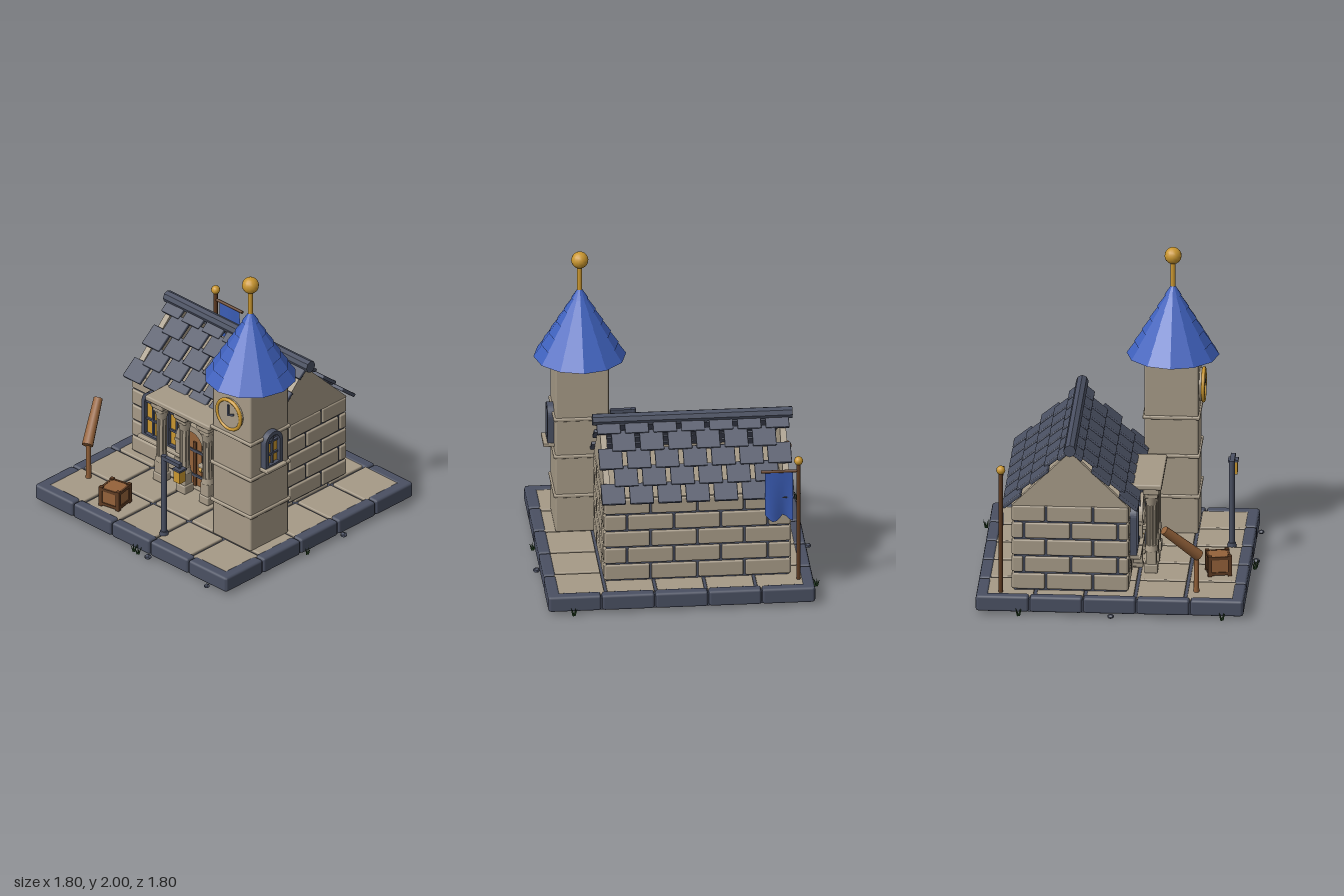
import * as THREE from 'three';
import { RoundedBoxGeometry } from 'three/addons/geometries/RoundedBoxGeometry.js';

const paint = (name, color) => Object.assign(new THREE.MeshStandardMaterial({ color }), { name });

export function createModel() {
  const stone = paint('stone', 0xa69a87), slate = paint('slate', 0x4a5062), blue = paint('blue', 0x3f61bd);
  const gold = paint('gold', 0xc9962f), wood = paint('wood', 0x94623a), darkWood = paint('darkWood', 0x5e3b22);
  const green = paint('green', 0x284a26);
  const cloth = paint('cloth', 0x3a5cb4);
  cloth.side = THREE.DoubleSide;
  const model = new THREE.Group();
  model.name = 'clockTowerHouse';

  // Helpers
  const put = (parent, name, geo, mat, x = 0, y = 0, z = 0) => {
    const m = new THREE.Mesh(geo, mat);
    m.name = name;
    m.position.set(x, y, z);
    parent.add(m);
    return m;
  };
  const group = (name, x = 0, y = 0, z = 0, parent = model) => {
    const g = new THREE.Group();
    g.name = name;
    g.position.set(x, y, z);
    parent.add(g);
    return g;
  };
  const box = (w, h, d) => new THREE.BoxGeometry(w, h, d);
  const soft = (w, h, d, r = 0.01) => new RoundedBoxGeometry(w, h, d, 1, r);
  const cyl = (r1, r2, h, n = 12) => new THREE.CylinderGeometry(r1, r2, h, n);
  const flat = (geo) => {
    const g = geo.index ? geo.toNonIndexed() : geo;
    g.computeVertexNormals();
    return g;
  };
  // Arched outline standing on y = 0 (path only, used for shapes and holes)
  const arch = (path, w, spring, y0 = 0) => {
    path.moveTo(-w, y0);
    path.lineTo(w, y0);
    path.lineTo(w, spring);
    path.absarc(0, spring, w, 0, Math.PI, false);
    path.lineTo(-w, y0);
    return path;
  };
  const archRing = (outer, inner, spring, y0, depth) => {
    const s = arch(new THREE.Shape(), outer, spring);
    s.holes.push(arch(new THREE.Path(), inner, spring, y0));
    return new THREE.ExtrudeGeometry(s, { depth, bevelEnabled: false, curveSegments: 10 });
  };

  // Plinth: slab, kerb stones and paving
  const base = group('base');
  put(base, 'slab', box(1.68, 0.08, 1.68), slate, 0, 0.063, 0);
  for (let i = 0; i < 5; i++) {
    const t = (i - 2) * 0.342;
    for (const s of [-1, 1]) {
      put(base, 'kerbStone', soft(0.334, 0.105, 0.078, 0.016), slate, t, 0.0725, s * 0.816);
      put(base, 'kerbStone', soft(0.078, 0.105, 0.334, 0.016), slate, s * 0.816, 0.0725, t);
    }
    for (let j = 0; j < 5; j++)
      put(base, 'pavingTile', soft(0.3, 0.03, 0.3, 0.008), stone, (i - 2) * 0.32, 0.105, (j - 2) * 0.32);
  }

  // House walls: mortar core with staggered bricks
  const house = group('house', -0.12, 0, -0.26);
  put(house, 'mortarCore', box(1.17, 0.57, 0.72), slate, 0, 0.405, 0);
  put(house, 'atticFloor', box(1.17, 0.01, 0.72), stone, 0, 0.695, 0);
  const course = (length, row, offset, place) => {
    const cuts = [-length / 2];
    for (let c = -length / 2 + offset; c < length / 2 - 0.05; c += 0.3) cuts.push(c);
    cuts.push(length / 2);
    for (let i = 0; i + 1 < cuts.length; i++)
      place((cuts[i] + cuts[i + 1]) / 2, cuts[i + 1] - cuts[i] - 0.013, 0.181 + row * 0.115);
  };
  for (let row = 0; row < 5; row++)
    for (const s of [-1, 1]) {
      course(1.2, row, row % 2 ? 0.15 : 0.3, (c, l, y) => put(house, 'brick', soft(l, 0.104, 0.06), stone, s * c, y, s * 0.345));
      course(0.75, row, row % 2 ? 0.07 : 0.23, (c, l, y) => put(house, 'brick', soft(0.06, 0.104, l), stone, s * 0.57, y, s * c));
    }

  // Gables
  const tri = new THREE.Shape([new THREE.Vector2(-0.375, 0.695), new THREE.Vector2(0.375, 0.695), new THREE.Vector2(0, 1.065)]);
  for (const s of [-1, 1]) {
    const gable = put(house, 'gable', new THREE.ExtrudeGeometry(tri, { depth: 0.04, bevelEnabled: false }), stone, s * 0.575 - 0.02, 0, 0);
    gable.rotation.y = Math.PI / 2;
  }

  // Roof: staggered shingles with open gaps, and a ridge cap
  const pitch = 0.76;
  for (const turn of [0, Math.PI]) {
    const slope = group('roofSlope', 0, 1.085, 0, house);
    slope.rotation.y = turn;
    for (let row = 0; row < 5; row++) {
      const n = row % 2 ? 6 : 7;
      const from = Math.max(0, -0.043 + row * 0.121), to = 0.103 + row * 0.121, d = (from + to) / 2;
      for (let i = 0; i < n; i++) {
        const shingle = put(slope, 'shingle', soft(0.152, 0.024, to - from, 0.006), slate,
          (i - (n - 1) / 2) * 0.18, -d * Math.sin(pitch), d * Math.cos(pitch));
        shingle.rotation.x = pitch - 0.08;
      }
    }
  }
  put(house, 'ridgeCap', flat(cyl(0.04, 0.04, 1.28, 8)), slate, 0, 1.088, 0).rotation.z = Math.PI / 2;

  // Arched windows
  const makeWindow = (x, y, z, w, h, turn = 0) => {
    const g = group('window', x, y, z), r = w / 2, spring = h - r;
    g.rotation.y = turn;
    put(g, 'frame', archRing(r, r - 0.027, spring, 0.02, 0.045), slate);
    put(g, 'fanlight', new THREE.ExtrudeGeometry(arch(new THREE.Shape(), r - 0.02, spring), { depth: 0.012, bevelEnabled: false }), slate);
    put(g, 'pane', box(w - 0.05, spring - 0.02, 0.008), gold, 0, spring / 2 + 0.01, 0.014);
    put(g, 'mullion', box(0.014, h - 0.04, 0.02), slate, 0, h / 2, 0.02);
    for (const f of [0.5, 1]) put(g, 'crossbar', box(w - 0.04, 0.014, 0.02), slate, 0, spring * f, 0.02);
    put(g, 'sill', soft(w + 0.025, 0.024, 0.075, 0.006), stone, 0, -0.005, 0.035);
  };
  for (const dx of [-0.375, -0.165, 0.165, 0.375]) makeWindow(-0.12 + dx, 0.315, 0.113, 0.172, 0.335);
  makeWindow(0.715, 0.695, 0.318, 0.155, 0.255, Math.PI / 2);

  // Doorway
  const door = group('doorway', -0.12, 0.12, 0.115);
  put(door, 'stoneArch', archRing(0.142, 0.098, 0.31, 0.001, 0.06), stone);
  put(door, 'doorPanel', new THREE.ExtrudeGeometry(arch(new THREE.Shape(), 0.1, 0.31), { depth: 0.02, bevelEnabled: false }), wood);
  for (const x of [-0.075, 0, 0.075]) put(door, 'doorBatten', box(0.025, 0.32, 0.015), darkWood, x, 0.16, 0.025);
  for (const y of [0.08, 0.26]) put(door, 'hinge', box(0.18, 0.018, 0.01), slate, 0, y, 0.033);
  put(door, 'doorKnob', new THREE.SphereGeometry(0.016, 10, 8), gold, 0.065, 0.145, 0.04);
  for (const s of [-1, 1]) for (const y of [0.02, 0.16, 0.3])
    put(door, 'archBlock', soft(0.055, 0.025, 0.07, 0.005), stone, s * 0.12, y, 0.03);

  // Portico: slab on three fluted columns
  put(model, 'porticoSlab', soft(0.575, 0.036, 0.205, 0.01), stone, -0.12, 0.718, 0.203);
  for (const dx of [-0.205, 0, 0.205]) {
    const c = group('column', -0.12 + dx, 0, 0.235);
    put(c, 'plinth', soft(0.085, 0.06, 0.085, 0.008), stone, 0, 0.15, 0);
    put(c, 'pedestal', soft(0.068, 0.1, 0.068, 0.006), stone, 0, 0.22, 0);
    put(c, 'footRing', cyl(0.036, 0.043, 0.04), stone, 0, 0.285, 0);
    put(c, 'shaft', cyl(0.026, 0.028, 0.29), stone, 0, 0.44, 0);
    for (let i = 0; i < 8; i++) {
      const a = (i / 8) * Math.PI * 2;
      put(c, 'flute', cyl(0.007, 0.007, 0.28, 6), stone, Math.sin(a) * 0.027, 0.44, Math.cos(a) * 0.027);
    }
    put(c, 'capitalNeck', cyl(0.046, 0.032, 0.06), stone, 0, 0.605, 0);
    put(c, 'capital', soft(0.085, 0.03, 0.085, 0.006), stone, 0, 0.645, 0);
    put(c, 'abacus', soft(0.105, 0.045, 0.105, 0.008), stone, 0, 0.68, 0);
  }

  // Tower
  const tower = group('tower', 0.547, 0, 0.318);
  const levels = [0.115, 0.37, 0.645, 0.905, 1.285];
  for (let i = 0; i < 4; i++) {
    const h = levels[i + 1] - levels[i];
    put(tower, 'towerBlock', soft(0.342, h, 0.345, 0.012), stone, 0, levels[i] + h / 2, 0);
    if (i) put(tower, 'towerBand', soft(0.368, 0.024, 0.368, 0.008), stone, 0, levels[i], 0);
  }
  // Tiered spire
  const radius = (y) => 0.297 * (1 - (y - 1.28) / 0.49);
  const profile = [new THREE.Vector2(0, 1.28)];
  for (let i = 0; i < 6; i++) {
    const y0 = 1.28 + i * 0.08, y1 = y0 + 0.08;
    profile.push(new THREE.Vector2(radius(y0), y0), new THREE.Vector2(Math.max(radius(y1) - 0.008, 0.003), y1));
  }
  profile.push(new THREE.Vector2(0, 1.762));
  put(tower, 'spire', flat(new THREE.LatheGeometry(profile, 12)), blue);
  put(tower, 'finialRod', cyl(0.016, 0.016, 0.2), gold, 0, 1.82, 0);
  put(tower, 'finialBall', new THREE.SphereGeometry(0.055, 14, 10), gold, 0, 1.945, 0);

  // Clock
  const clock = group('clock', 0, 1.073, 0.172, tower);
  put(clock, 'clockFace', cyl(0.106, 0.106, 0.03, 28), stone, 0, 0, 0.012).rotation.x = Math.PI / 2;
  put(clock, 'clockRim', new THREE.TorusGeometry(0.104, 0.012, 8, 28), gold, 0, 0, 0.025);
  put(clock, 'minuteHand', box(0.012, 0.08, 0.008), slate, 0, 0.034, 0.031);
  put(clock, 'hourHand', box(0.055, 0.012, 0.008), slate, 0.022, 0.006, 0.031).rotation.z = 0.35;

  // Street lamp
  const lamp = group('streetLamp', 0.168, 0, 0.718);
  put(lamp, 'lampFoot', cyl(0.026, 0.03, 0.03, 8), slate, 0, 0.13, 0);
  put(lamp, 'lampPost', cyl(0.019, 0.019, 0.58, 8), slate, 0, 0.41, 0);
  put(lamp, 'lampArm', box(0.155, 0.026, 0.03), slate, 0.07, 0.685, 0);
  put(lamp, 'lampHook', cyl(0.01, 0.01, 0.03, 6), slate, 0.138, 0.67, 0);
  put(lamp, 'lanternCap', box(0.066, 0.014, 0.066), slate, 0.138, 0.655, 0);
  put(lamp, 'lanternGlass', box(0.054, 0.085, 0.054), gold, 0.138, 0.607, 0);

  // Crate with dark framing
  const crate = group('crate', -0.322, 0.19, 0.663);
  crate.rotation.y = 0.2;
  put(crate, 'crateBody', box(0.135, 0.12, 0.135), wood);
  for (const a of [-1, 1]) for (const b of [-1, 1]) {
    put(crate, 'cratePost', box(0.026, 0.138, 0.026), darkWood, a * 0.064, 0, b * 0.064);
    put(crate, 'crateRail', box(0.12, 0.02, 0.014), darkWood, 0, a * 0.052, b * 0.067);
    put(crate, 'crateRail', box(0.014, 0.02, 0.12), darkWood, b * 0.067, a * 0.052, 0);
  }

  // Tilted log on a post
  put(model, 'logPost', cyl(0.016, 0.018, 0.27, 8), wood, -0.675, 0.245, 0.545);
  const a = new THREE.Vector3(-0.785, 0.575, 0.345), b = new THREE.Vector3(-0.67, 0.365, 0.56);
  const log = put(model, 'tiltedLog', cyl(0.03, 0.037, a.distanceTo(b), 10), wood);
  log.position.copy(a).add(b).multiplyScalar(0.5);
  log.quaternion.setFromUnitVectors(new THREE.Vector3(0, 1, 0), a.clone().sub(b).normalize());

  // Banner on a pole
  const banner = group('banner', -0.76, 0, -0.7);
  put(banner, 'bannerPole', cyl(0.014, 0.014, 0.82, 8), darkWood, 0, 0.53, 0);
  put(banner, 'bannerBall', new THREE.SphereGeometry(0.029, 12, 8), gold, 0, 0.95, 0);
  put(banner, 'bannerBar', cyl(0.01, 0.01, 0.24, 8), darkWood, 0.12, 0.88, 0).rotation.z = Math.PI / 2;
  const sheet = new THREE.PlaneGeometry(0.18, 0.3, 8, 8), p = sheet.attributes.position;
  for (let i = 0; i < p.count; i++) {
    const u = p.getX(i) / 0.18 + 0.5, v = 0.5 - p.getY(i) / 0.3;
    p.setY(i, p.getY(i) - v * 0.05 * Math.abs(Math.cos(u * Math.PI * 1.5)));
    p.setZ(i, Math.sin(u * 6) * 0.014 * v);
  }
  sheet.computeVertexNormals();
  put(banner, 'bannerCloth', sheet, cloth, 0.125, 0.73, 0);

  // Pebbles and grass tufts around the edge
  for (const [x, z, r] of [[0.872, -0.2, 0.024], [-0.885, 0.01, 0.022], [0.175, 0.872, 0.025], [0.7, 0.872, 0.02]])
    put(model, 'pebble', flat(new THREE.DodecahedronGeometry(r)), slate, x, 0.018, z).scale.y = 0.7;
  for (const [x, z] of [[0.695, -0.885], [-0.885, -0.58], [-0.885, 0.72], [0.05, 0.872], [0.092, 0.878], [0.866, 0.125]])
    for (let i = 0; i < 4; i++) {
      const t = i * 1.7 + x * 5;
      const blade = put(model, 'grassBlade', new THREE.ConeGeometry(0.007, 0.055, 4), green,
        x + Math.cos(t) * 0.014, 0.035, z + Math.sin(t) * 0.014);
      blade.rotation.set(Math.sin(t) * 0.35, 0, -Math.cos(t) * 0.35);
    }
  return model;
}
